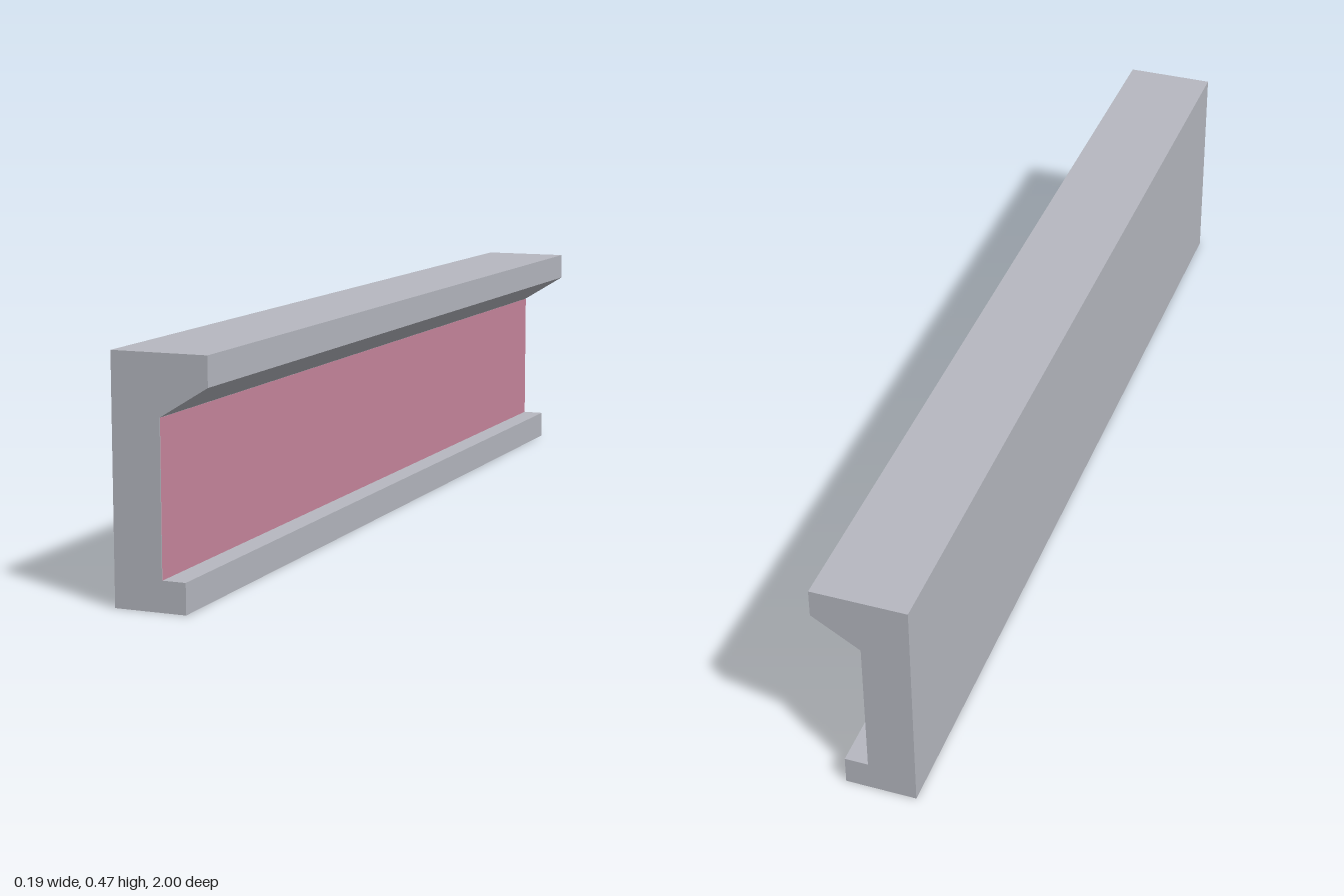
import * as THREE from 'three';

export function createModel() {
  const model = new THREE.Group();
  model.name = 'wallCopingPanel';

  const concrete = new THREE.MeshStandardMaterial({ color: 0xb6b8c0 });
  concrete.name = 'pale grey';
  const infill = new THREE.MeshStandardMaterial({ color: 0xc8869d });
  infill.name = 'dusty pink';

  const length = 2;
  const recessBottom = 0.059, recessTop = 0.351;

  // Constant section: web, sloped top flange and small bottom lip
  const section = new THREE.Shape([
    [-0.095, 0], [0.047, 0], [0.047, recessBottom], [0, recessBottom],
    [0, recessTop], [0.095, 0.409], [0.095, 0.466], [-0.095, 0.466],
  ].map(([x, y]) => new THREE.Vector2(x, y)));
  const bodyGeometry = new THREE.ExtrudeGeometry(section, { depth: length, bevelEnabled: false });
  bodyGeometry.translate(0, 0, -length / 2);
  const body = new THREE.Mesh(bodyGeometry, concrete);
  body.name = 'profileBody';
  model.add(body);

  // Coloured face of the recess between lip and flange
  const face = new THREE.Mesh(
    new THREE.PlaneGeometry(length, recessTop - recessBottom), infill);
  face.name = 'recessFace';
  face.rotation.y = Math.PI / 2;
  face.position.set(0.001, (recessTop + recessBottom) / 2, 0);
  model.add(face);

  return model;
}
